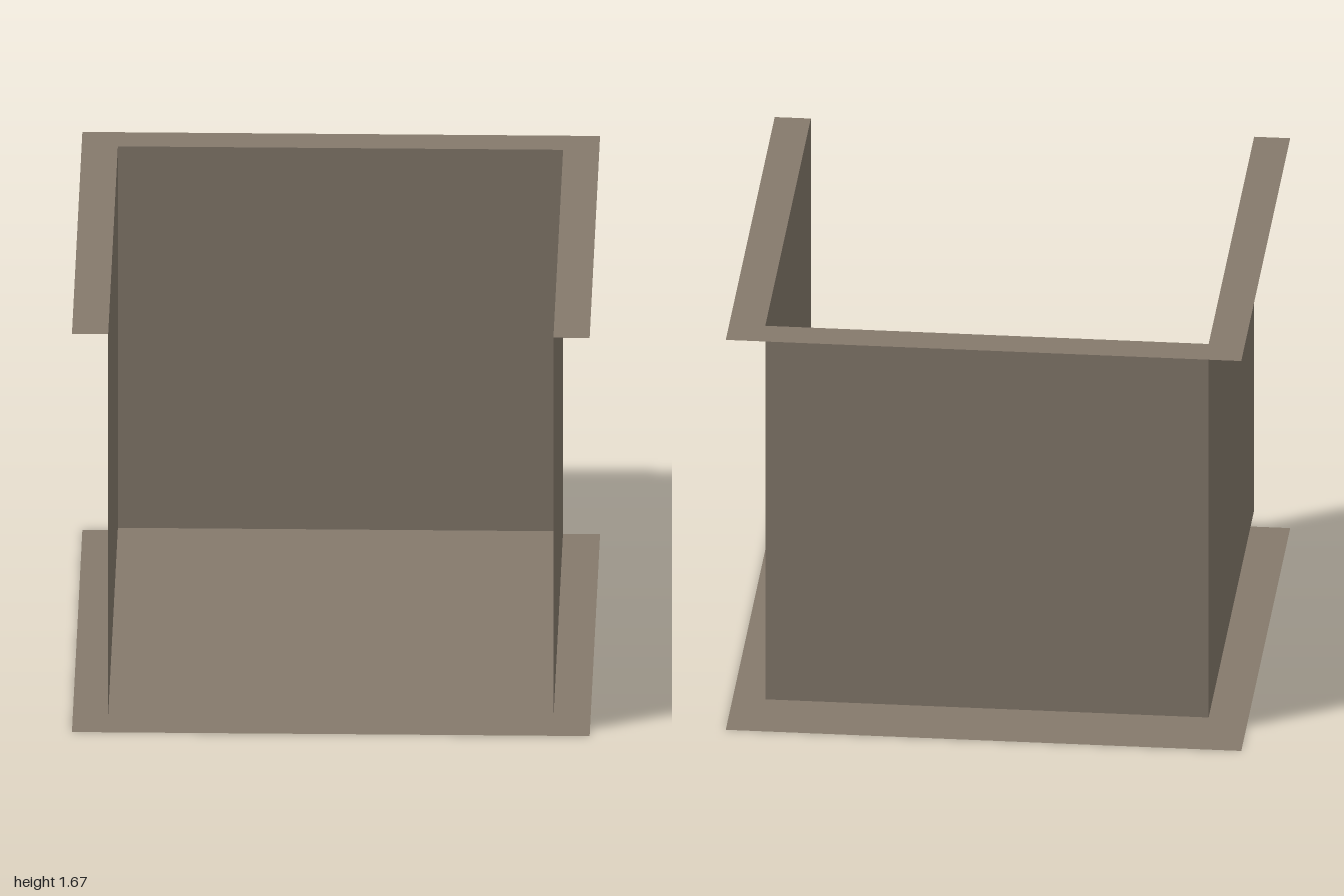
import * as THREE from 'three';

const INNER = 0.86;    // wall distance from the centre
const OUTER = 1;       // rim and base extent
const FLOOR_Y = 0.07;  // raised inner floor
const TOP_Y = 1.67;

export function createModel() {
  const model = new THREE.Group();
  model.name = 'openTray';
  const taupe = new THREE.MeshStandardMaterial({ color: 0x857a6c, side: THREE.DoubleSide });
  taupe.name = 'taupe';

  const add = (name, geometry) => {
    const mesh = new THREE.Mesh(geometry, taupe);
    mesh.name = name;
    model.add(mesh);
    return mesh;
  };

  // Horizontal sheet from an outline given as [x, z] points
  const sheet = (name, points, y) => {
    const shape = new THREE.Shape(points.map(([x, z]) => new THREE.Vector2(x, -z)));
    add(name, new THREE.ShapeGeometry(shape).rotateX(-Math.PI / 2)).position.y = y;
  };

  // Base sheet and the smaller floor just above it
  sheet('base', [[-OUTER, OUTER], [OUTER, OUTER], [OUTER, -OUTER], [-OUTER, -OUTER]], 0);
  sheet('floor', [[-INNER, OUTER], [INNER, OUTER], [INNER, -INNER], [-INNER, -INNER]], FLOOR_Y);

  // U-shaped rim around the wall tops, open at the front
  sheet('rim', [
    [-OUTER, OUTER], [-INNER, OUTER], [-INNER, -INNER], [INNER, -INNER],
    [INNER, OUTER], [OUTER, OUTER], [OUTER, -OUTER], [-OUTER, -OUTER],
  ], TOP_Y);

  // Three thin walls
  const height = TOP_Y - FLOOR_Y;
  const midY = (TOP_Y + FLOOR_Y) / 2;
  add('backWall', new THREE.PlaneGeometry(2 * INNER, height)).position.set(0, midY, -INNER);
  for (const [name, side] of [['leftWall', 1], ['rightWall', -1]]) {
    const wall = add(name, new THREE.PlaneGeometry(OUTER + INNER, height));
    wall.rotation.y = side * Math.PI / 2;
    wall.position.set(side * INNER, midY, (OUTER - INNER) / 2);
  }
  return model;
}
